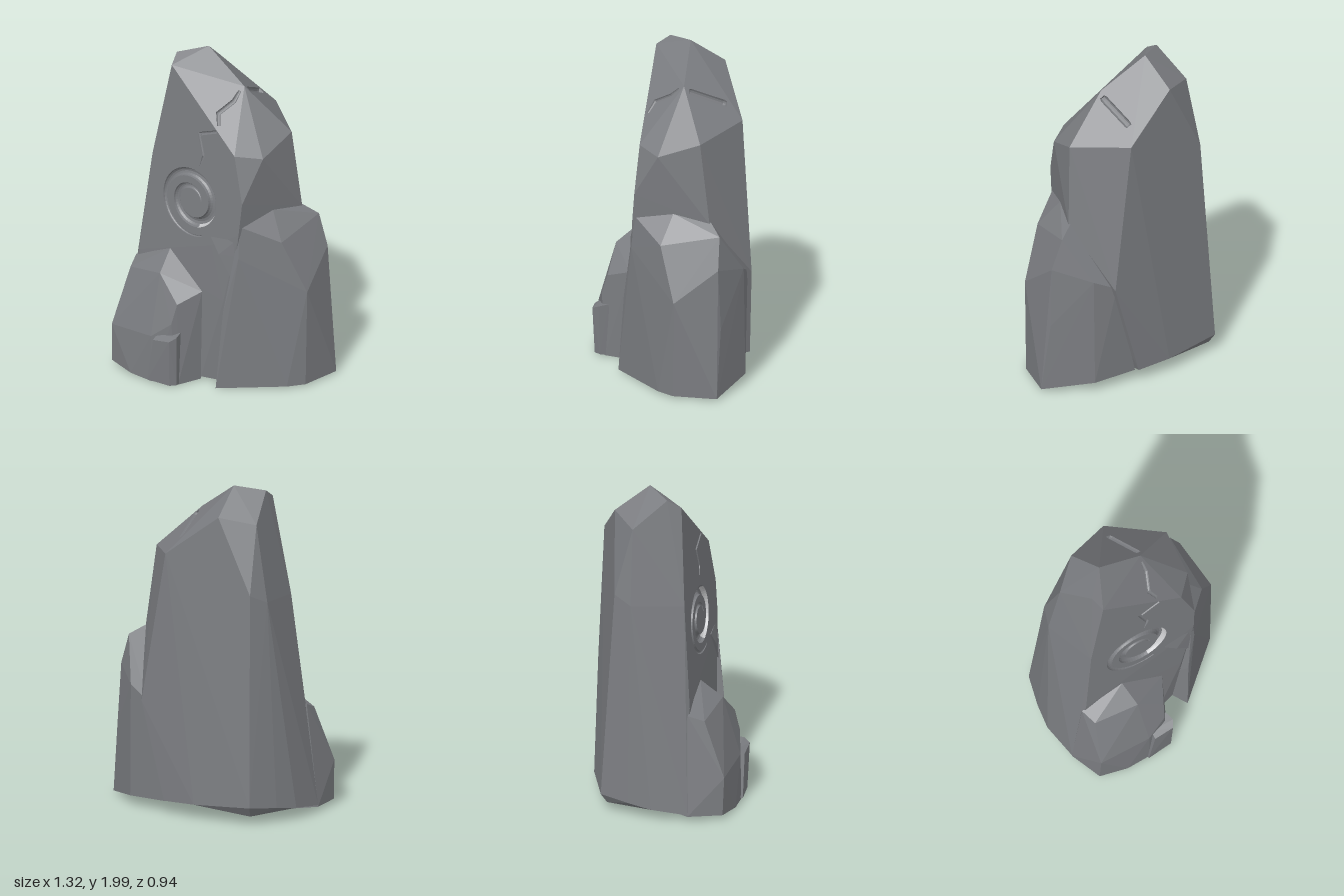
import * as THREE from 'three';
import { ConvexGeometry } from 'three/addons/geometries/ConvexGeometry.js';

const V = (x, y, z) => new THREE.Vector3(x, y, z);

// solve for z or y so that a point lies on a plane
const zOn = (p, x, y) => V(x, y, -(p.constant + p.normal.x * x + p.normal.y * y) / p.normal.z);
const yOn = (p, x, z) => V(x, -(p.constant + p.normal.x * x + p.normal.z * z) / p.normal.y, z);

function meshFromTriangles(name, points, material) {
  const geometry = new THREE.BufferGeometry().setFromPoints(points);
  geometry.computeVertexNormals(); // not indexed, so facets stay flat
  const mesh = new THREE.Mesh(geometry, material);
  mesh.name = name;
  return mesh;
}

// convex rock: its triangles without the open underside, and its bounding planes
function makeHull(points) {
  const pos = new ConvexGeometry(points).getAttribute('position');
  const triangles = [], planes = [];
  for (let i = 0; i < pos.count; i += 3) {
    const tri = [0, 1, 2].map(k => new THREE.Vector3().fromBufferAttribute(pos, i + k));
    const plane = new THREE.Plane().setFromCoplanarPoints(...tri);
    if (plane.normal.lengthSq() < 0.5) continue;
    planes.push(plane);
    if (plane.normal.y > -0.7) triangles.push(...tri);
  }
  return { triangles, planes };
}

// drop the pieces of each triangle that are buried in another rock
function removeBuried(triangles, hulls) {
  const buried = tri => hulls.some(h => tri.every(p => h.planes.every(q => q.distanceToPoint(p) < -0.001)));
  const split = (tri, depth) => {
    if (buried(tri)) return [];
    if (depth === 0) return [tri];
    const [a, b, c] = tri;
    const ab = a.clone().lerp(b, 0.5), bc = b.clone().lerp(c, 0.5), ca = c.clone().lerp(a, 0.5);
    const children = [[a, ab, ca], [ab, b, bc], [ca, bc, c], [ab, bc, ca]];
    const parts = children.map(t => split(t, depth - 1));
    return parts.every((p, i) => p[0] === children[i]) ? [tri] : parts.flat();
  };
  const kept = [];
  for (let i = 0; i < triangles.length; i += 3) {
    const tri = triangles.slice(i, i + 3);
    const size = tri[0].distanceTo(tri[1]) + tri[1].distanceTo(tri[2]);
    kept.push(...split(tri, size > 0.2 ? 5 : 0).flat());
  }
  return kept;
}

// Replace the flat facet on a plane by one with round grooves sunk into it.
// Each groove is a list of { p, w, pale }: a point, the half width, a pale outer wall.
function carveFacet(triangles, plane, grooves, paleWalls) {
  const kept = [], corners = [];
  for (let i = 0; i < triangles.length; i += 3) {
    const tri = triangles.slice(i, i + 3);
    if (!tri.every(p => Math.abs(plane.distanceToPoint(p)) < 1e-4)) { kept.push(...tri); continue; }
    for (const p of tri) if (!corners.some(c => c.distanceTo(p) < 1e-5)) corners.push(p);
  }
  if (corners.length < 3) return triangles;

  // plane coordinates
  const n = plane.normal;
  const origin = corners.reduce((s, p) => s.add(p), V(0, 0, 0)).divideScalar(corners.length);
  const u = V(0, 1, 0).cross(n).normalize(), v = n.clone().cross(u);
  const flat = p => {
    const d = p.clone().sub(origin);
    return new THREE.Vector2(d.dot(u), d.dot(v));
  };
  const lift = p => origin.clone().addScaledVector(u, p.x).addScaledVector(v, p.y).addScaledVector(n, p.z);

  const outline = corners.map(flat).sort((a, b) => Math.atan2(a.y, a.x) - Math.atan2(b.y, b.x));
  const shape = new THREE.Shape(outline);
  const steps = 6;

  for (const groove of grooves) {
    const path = groove.map(g => flat(g.p)), last = path.length - 1;
    // half-round cross-section from rim to rim
    const sections = path.map((c, i) => {
      const d = path[Math.min(i + 1, last)].clone().sub(path[Math.max(i - 1, 0)]).normalize();
      return Array.from({ length: steps + 1 }, (_, k) => {
        const a = Math.PI * k / steps, s = groove[i].w * Math.cos(a);
        return V(c.x - d.y * s, c.y + d.x * s, -groove[i].w * Math.sin(a));
      });
    });
    const rim = [...sections.map(s => s[0]), ...sections.map(s => s[steps]).reverse()];
    shape.holes.push(new THREE.Path(rim.map(p => new THREE.Vector2(p.x, p.y))));
    for (let i = 0; i < last; i++) {
      const a = sections[i], b = sections[i + 1];
      for (let k = 0; k < steps; k++) {
        const target = groove[i].pale && k < 2 ? paleWalls : kept;
        target.push(...[a[k], a[k + 1], b[k + 1], a[k], b[k + 1], b[k]].map(lift));
      }
    }
    // closed ends
    const s = sections[0], e = sections[last];
    for (let k = 1; k < steps; k++) kept.push(...[s[0], s[k + 1], s[k], e[0], e[k], e[k + 1]].map(lift));
  }
  const face = new THREE.ShapeGeometry(shape).toNonIndexed().getAttribute('position');
  for (let i = 0; i < face.count; i++) kept.push(lift(V(face.getX(i), face.getY(i), 0)));
  return kept;
}

function createMainRock(stone, paleStone, lumps) {
  // three flat facets: carved front, sloping brow, right shoulder
  const front = new THREE.Plane().setFromNormalAndCoplanarPoint(V(-0.5, 0.0875, 1).normalize(), V(-0.19, 1.12, 0.175));
  const browLeft = zOn(front, -0.34, 1.92), browRight = zOn(front, 0.11, 1.485);
  const peak = V(-0.15, 2, -0.12), notch = V(0.1, 1.82, 0.01), shoulderTip = V(0.39, 1.555, 0.01);
  const brow = new THREE.Plane().setFromCoplanarPoints(browLeft, browRight, notch);
  const shoulder = new THREE.Plane().setFromCoplanarPoints(peak, notch, shoulderTip);

  const hull = makeHull([
    peak, browLeft, browRight, notch, shoulderTip,
    V(-0.33, 1.97, -0.055), V(0.27, 1.46, 0.235), yOn(shoulder, 0.21, -0.32),
    // front facet rim
    ...[[0.17, 1.2], [0.15, 1.0], [-0.04, 0.88], [-0.54, 0.7], [-0.46, 1.33]].map(([x, y]) => zOn(front, x, y)),
    // crown and back
    V(-0.13, 1.85, -0.33), V(-0.35, 1.81, -0.27), V(-0.43, 1.35, -0.3), V(-0.35, 1.4, -0.38),
    // right side
    V(0.445, 1.06, -0.03), V(0.36, 0.68, -0.325),
    // foot
    V(-0.1, 0.02, 0.27), V(0.05, 0.02, 0.3), V(0.05, 0.55, 0.33), V(-0.64, 0.05, 0),
    V(-0.58, 0.08, -0.21), V(-0.5, 0.1, -0.33), V(-0.38, 0.12, -0.47), V(-0.37, 0.06, -0.43),
    V(-0.01, 0.1, -0.43), V(0.2, 0.09, -0.37),
  ]);

  // spiral groove, winding inwards clockwise
  const spiral = [];
  for (let i = 0; i <= 90; i++) {
    const t = i / 90, a = (-69 - 640 * t) * Math.PI / 180, r = 0.218 - 0.15 * t;
    spiral.push({
      p: zOn(front, -0.18 + 0.95 * r * Math.cos(a), 1.12 + r * Math.sin(a)),
      w: 0.004 + 0.027 * Math.sin(Math.PI * t),
      pale: t > 0.36 && t < 0.56,
    });
  }
  // crack running over the three facets
  const crackLow = [[-0.018, 1.6, 0.01], [-0.14, 1.55, 0.015], [-0.105, 1.42, 0.011], [-0.13, 1.35, 0.002]]
    .map(([x, y, w]) => ({ p: zOn(front, x, y), w }));
  const crackMid = [[-0.01, 1.63, 0.01], [-0.025, 1.69, 0.015], [0.055, 1.75, 0.015], [0.078, 1.798, 0.009]]
    .map(([x, y, w]) => ({ p: zOn(brow, x, y), w }));
  const crackTop = [[0.12, -0.015, 0.016], [0.122, -0.03, 0.022], [0.14, -0.23, 0.022], [0.142, -0.245, 0.018]]
    .map(([x, z, w]) => ({ p: yOn(shoulder, x, z), w }));

  const paleWalls = [];
  let triangles = carveFacet(hull.triangles, front, [spiral, crackLow], paleWalls);
  triangles = carveFacet(triangles, brow, [crackMid], paleWalls);
  triangles = carveFacet(triangles, shoulder, [crackTop], paleWalls);
  const group = new THREE.Group();
  group.name = 'mainRock';
  group.add(meshFromTriangles('carvedStone', removeBuried(triangles, lumps), stone));
  group.add(meshFromTriangles('spiralWall', paleWalls, paleStone));
  return { group, hull };
}

export function createModel() {
  const stone = new THREE.MeshStandardMaterial({ color: 0x7a7c80, side: THREE.DoubleSide });
  stone.name = 'grey stone';
  const paleStone = new THREE.MeshStandardMaterial({ color: 0xc4c5c7, side: THREE.DoubleSide });
  paleStone.name = 'pale stone';

  const lumps = Object.entries({
    // broad boulder leaning on the left side
    sideRock: [
      [0.155, 1.05, 0.34], [0.31, 1.1, 0.15], [0.44, 1.07, -0.04], [0.54, 1.01, -0.06],
      [0.6, 0.82, -0.03], [0.62, 0.45, -0.04], [0.66, 0.02, 0], [0.39, 0.94, 0.26],
      [0.54, 0.62, 0.23], [0.53, 0.02, 0.23], [0.43, 0.02, 0.29], [0.15, 0.85, 0.36],
      [0.1, 0.72, 0.355], [0.06, 0.5, 0.375], [0.02, 0.01, 0.395], [0.33, 0.68, -0.31],
      [0.46, 0.75, -0.24], [0.46, 0.07, -0.25], [0.2, 0.08, -0.34], [0, 0.02, 0.1],
    ],
    // low boulder in front
    frontRock: [
      [-0.56, 0.66, 0.02], [-0.57, 0.62, 0.12], [-0.32, 0.78, 0.15], [-0.09, 0.58, 0.285], [-0.22, 0.52, 0.38],
      [-0.35, 0.67, 0.28], [-0.66, 0.28, 0.22], [-0.66, 0.04, 0.21], [-0.52, 0.02, 0.32],
      [-0.38, 0.01, 0.385], [-0.38, 0.3, 0.38], [-0.25, 0.4, 0.405], [-0.21, 0.01, 0.4],
      [-0.1, 0.4, 0.28], [-0.1, 0.01, 0.28], [-0.64, 0.04, 0], [-0.5, 0.04, -0.1],
    ],
    // small slab on the low boulder
    frontChip: [
      [-0.36, 0.29, 0.41], [-0.21, 0.33, 0.44], [-0.25, 0.31, 0.465], [-0.2, 0.34, 0.38], [-0.34, 0.32, 0.37],
      [-0.4, 0.02, 0.39], [-0.25, 0.02, 0.45], [-0.21, 0.02, 0.43], [-0.2, 0.01, 0.36], [-0.38, 0.02, 0.35],
    ],
    // wedge filling the gap above the side boulder
    gapWedge: [
      [-0.04, 0.94, 0.275], [0.13, 0.96, 0.345], [0.14, 0.86, 0.355], [0.1, 0.72, 0.35],
      [0.02, 0.85, 0.32], [0.1, 0.85, 0.2],
    ],
  }).map(([name, points]) => ({ name, ...makeHull(points.map(p => V(...p))) }));

  const model = new THREE.Group();
  model.name = 'carvedRock';
  const main = createMainRock(stone, paleStone, lumps);
  model.add(main.group);
  for (const lump of lumps) {
    const others = [main.hull, ...lumps.filter(l => l !== lump)];
    model.add(meshFromTriangles(lump.name, removeBuried(lump.triangles, others), stone));
  }
  return model;
}
